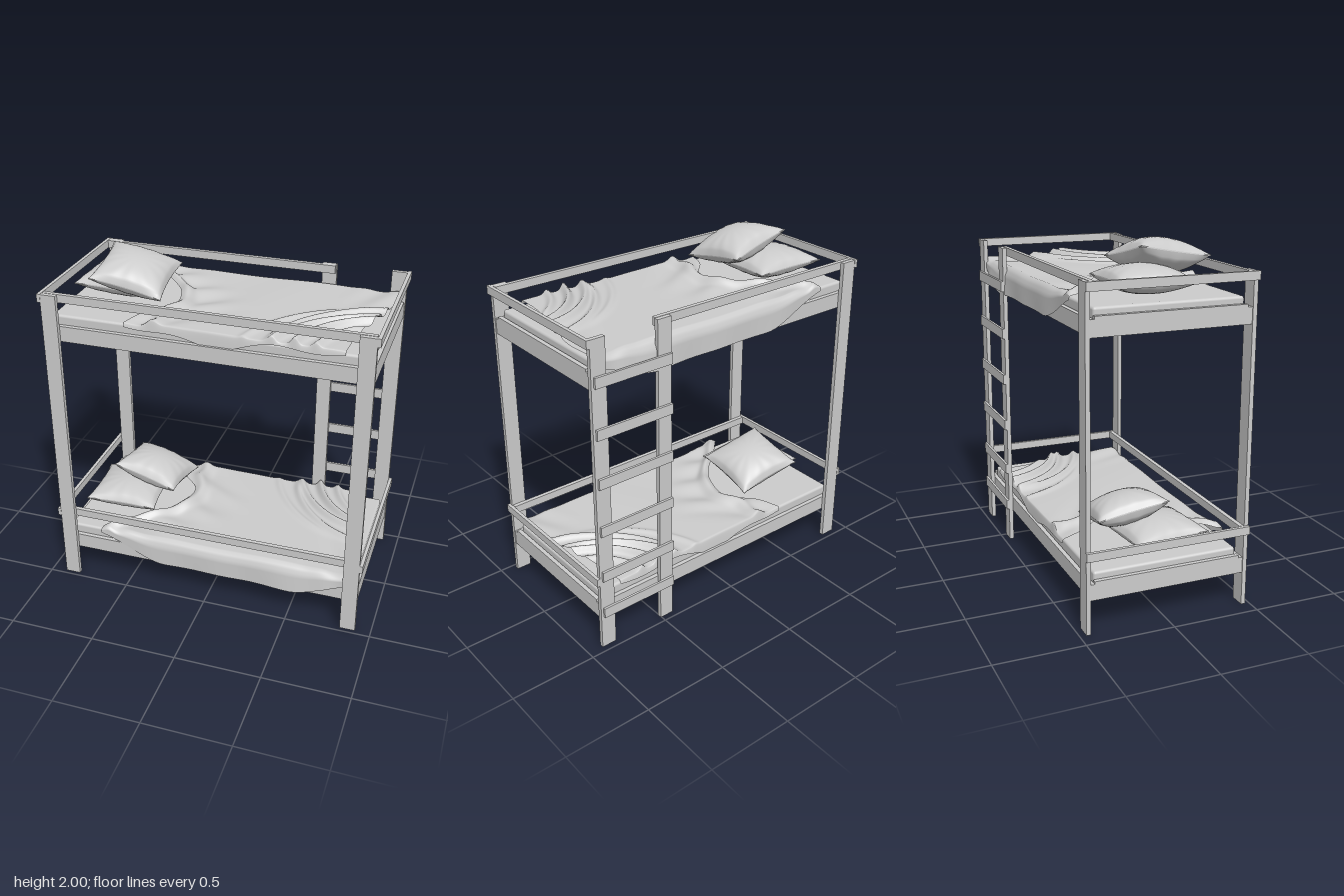
import * as THREE from 'three';
import { RoundedBoxGeometry } from 'three/addons/geometries/RoundedBoxGeometry.js';

const mat = new THREE.MeshStandardMaterial({ color: 0xcccccc });
const cloth = new THREE.MeshStandardMaterial({ color: 0xcccccc, side: THREE.DoubleSide });
const step = THREE.MathUtils.smoothstep;
const lerp = THREE.MathUtils.lerp;
const bell = (d, w) => Math.exp(-(d * d) / (w * w));

// Box given by its extents on each axis
function board(parent, name, [x0, x1], [y0, y1], [z0, z1]) {
  const m = new THREE.Mesh(new THREE.BoxGeometry(x1 - x0, y1 - y0, z1 - z0), mat);
  m.position.set((x0 + x1) / 2, (y0 + y1) / 2, (z0 + z1) / 2);
  m.name = name;
  parent.add(m);
}

// Square cushion: swollen middle, thin seam, concave sides, puckers near the rim
function pillowGeometry(size, thick) {
  const g = new THREE.BoxGeometry(2, 2, 2, 32, 1, 32);
  const p = g.attributes.position;
  for (let i = 0; i < p.count; i++) {
    const x = p.getX(i), z = p.getZ(i), side = Math.sign(p.getY(i));
    const swell = Math.pow(Math.max(0, (1 - x * x) * (1 - z * z)), 0.5);
    const rim = Math.max(Math.abs(x), Math.abs(z));
    const pucker = 0.04 * Math.sin(Math.atan2(z, x) * 13) * rim * rim * swell;
    p.setXYZ(i,
      x * (1 - 0.08 * (1 - z * z)) * size / 2,
      side * (0.003 + (swell + pucker) * thick / 2),
      z * (1 - 0.08 * (1 - x * x)) * size / 2);
  }
  g.computeVertexNormals();
  return g;
}

// Edges of the blanket across the bed (z from -0.42 at the long drape to 0.42)
const headEdge = new THREE.CatmullRomCurve3([
  [-0.66, -0.42], [-0.52, -0.28], [-0.36, -0.18], [-0.28, -0.03], [-0.27, 0.12], [-0.39, 0.28], [-0.45, 0.42],
].map(([x, z]) => new THREE.Vector3(x, 0, z)));
const footEdge = new THREE.CatmullRomCurve3([
  [0.88, -0.42], [0.87, -0.1], [0.84, 0.03], [0.77, 0.2], [0.75, 0.42],
].map(([x, z]) => new THREE.Vector3(x, 0, z)));

// Height of the folds above the mattress
function folds(x, z) {
  let h = 0.012 + 0.003 * Math.sin(9 * x + 5 * z);
  // sweeping creases fanning from the near side towards the foot
  const dx = 0.98 - x, dz = 0.6 - z;
  const r = Math.hypot(dx, dz), angle = Math.atan2(dz, dx);
  for (const [radius, height, lean, from, to] of [
    [0.46, 0.026, 0.10, 0.3, 1.2], [0.55, 0.042, 0.05, 0.15, 1.5],
    [0.63, 0.036, -0.02, 0.2, 1.55], [0.7, 0.026, 0.06, 0.3, 1.6], [0.77, 0.014, -0.04, 0.2, 1.1],
  ]) {
    const reach = step(angle, from - 0.15, from + 0.15) * (1 - step(angle, to - 0.2, to + 0.2));
    h += reach * height * bell(r - radius - lean * (angle - 0.8), 0.022);
  }
  // small creases at the far foot corner
  h += 0.007 * Math.sin(30 * x + 14 * z) * step(x, 0.5, 0.85) * step(-z, -0.05, 0.3);
  // turned-back roll along the head edge and creases trailing from it
  const d = x - headEdge.getPoint((z + 0.42) / 0.84).x;
  h += 0.035 * bell(d - 0.04 - 0.12 * step(z, 0.12, 0.4), 0.04);
  h += 0.011 * Math.sin(24 * z + 14 * x) * bell(d - 0.14, 0.15);
  return h;
}

// Sheet of cross-sections: long drape, bed top, short drape
function blanketGeometry(mirror, top) {
  const nu = 110, drape = 12, flat = 64, nv = drape * 2 + flat;
  const pos = [], index = [];
  for (let j = 0; j <= nv; j++) {
    const t = THREE.MathUtils.clamp((j - drape) / flat, 0, 1);
    const head = headEdge.getPoint(t).x, foot = footEdge.getPoint(t).x;
    for (let i = 0; i <= nu; i++) {
      const x = lerp(head, foot, i / nu);
      let z = lerp(-0.42, 0.42, t);
      let y = top + folds(x, z);
      if (j < drape) {
        const k = (drape - j) / drape;
        const depth = 0.16 * step(x, -0.74, -0.25) * (1 - 0.62 * step(x, 0.5, 0.88));
        y = lerp(y, top + 0.006 - depth, k);
        z -= 0.034 * Math.sqrt(Math.min(1, k * 3)) + 0.003 * k * Math.sin(x * 16)
          + 0.016 * k * step(x, 0.2, 0.6) * (1 - step(x, 0.7, 0.82));
      } else if (j > drape + flat) {
        const k = (j - drape - flat) / drape;
        const depth = 0.02 + 0.055 * bell(x - 0.02, 0.22) + 0.012 * Math.sin(x * 13);
        y = lerp(y, top + 0.008 - Math.max(0, depth), k);
        z += 0.012 * Math.sqrt(k);
      }
      pos.push(x, y, z * mirror);
    }
  }
  const w = nu + 1;
  for (let j = 0; j < nv; j++) for (let i = 0; i < nu; i++) {
    const a = j * w + i, b = a + 1, c = a + w, d = c + 1;
    if (mirror > 0) index.push(a, c, b, b, c, d);
    else index.push(a, b, c, b, d, c);
  }
  const g = new THREE.BufferGeometry();
  g.setAttribute('position', new THREE.Float32BufferAttribute(pos, 3));
  g.setIndex(index);
  g.computeVertexNormals();
  return g;
}

// One bunk: boards, slats, guard rails, mattress and bedding
function bunk(name, base, mirror) {
  const g = new THREE.Group();
  g.name = name;
  for (const s of [-1, 1]) {
    board(g, 'sideBoard', [-0.905, 0.905], [0, 0.09], s > 0 ? [0.42, 0.445] : [-0.445, -0.42]);
    board(g, 'endBoard', s > 0 ? [0.88, 0.905] : [-0.905, -0.88], [0, 0.105], [-0.42, 0.42]);
    board(g, 'endRail', s > 0 ? [0.908, 0.928] : [-0.928, -0.908], [0.228, 0.275], [-0.472, 0.472]);
  }
  board(g, 'frontRail', [-0.905, 0.905], [0.228, 0.275], [0.42, 0.445]);
  for (let i = 0; i < 10; i++) {
    const x = -0.8 + i * 1.6 / 9;
    board(g, 'slat', [x - 0.055, x + 0.055], [-0.004, 0.016], [-0.42, 0.42]);
  }
  const mattress = new THREE.Mesh(new RoundedBoxGeometry(1.75, 0.117, 0.83, 3, 0.015), mat);
  mattress.position.y = 0.084;
  mattress.name = 'mattress';
  g.add(mattress);

  const blanket = new THREE.Mesh(blanketGeometry(mirror, 0.15), cloth);
  blanket.name = 'blanket';
  g.add(blanket);

  const addPillow = (label, size, thick, [x, y, z], [rx, ry, rz]) => {
    const m = new THREE.Mesh(pillowGeometry(size, thick), mat);
    m.position.set(x, y, z * mirror);
    m.rotation.set(rx * mirror, ry * mirror, rz);
    m.name = label;
    g.add(m);
  };
  addPillow('lowerPillow', 0.43, 0.15, [-0.63, 0.225, -0.045], [0.04, -0.07, -0.03]);
  addPillow('leaningPillow', 0.41, 0.18, [-0.505, 0.318, 0.092], [0.17, 0.05, -0.24]);
  g.position.y = base;
  return g;
}

export function createModel() {
  const model = new THREE.Group();
  model.name = 'bunkBed';

  // Corner posts
  const posts = new THREE.Group();
  posts.name = 'posts';
  for (const xs of [[-0.91, -0.82], [0.82, 0.91]])
    for (const zs of [[0.445, 0.47], [-0.47, -0.445]])
      board(posts, 'post', xs, [0, 1.845], zs);

  // Ladder at the back
  const ladder = new THREE.Group();
  ladder.name = 'ladder';
  board(ladder, 'ladderPost', [0.42, 0.505], [0, 1.845], [-0.47, -0.445]);
  for (const y of [0.203, 0.442, 0.728, 1.017, 1.302, 1.588])
    board(ladder, 'rung', [0.42, 0.895], [y, y + 0.06], [-0.484, -0.47]);

  // Only the upper bunk has a rail at the back, stopping at the ladder
  const upper = bunk('upperBunk', 1.572, 1);
  board(upper, 'backRail', [-0.905, 0.5], [0.228, 0.275], [-0.445, -0.42]);

  model.add(posts, ladder, upper, bunk('lowerBunk', 0.19, -1));
  // Rungs stick out at the back only, so move the parts forward to centre the bed
  for (const part of model.children) part.position.z = 0.006;
  return model;
}
